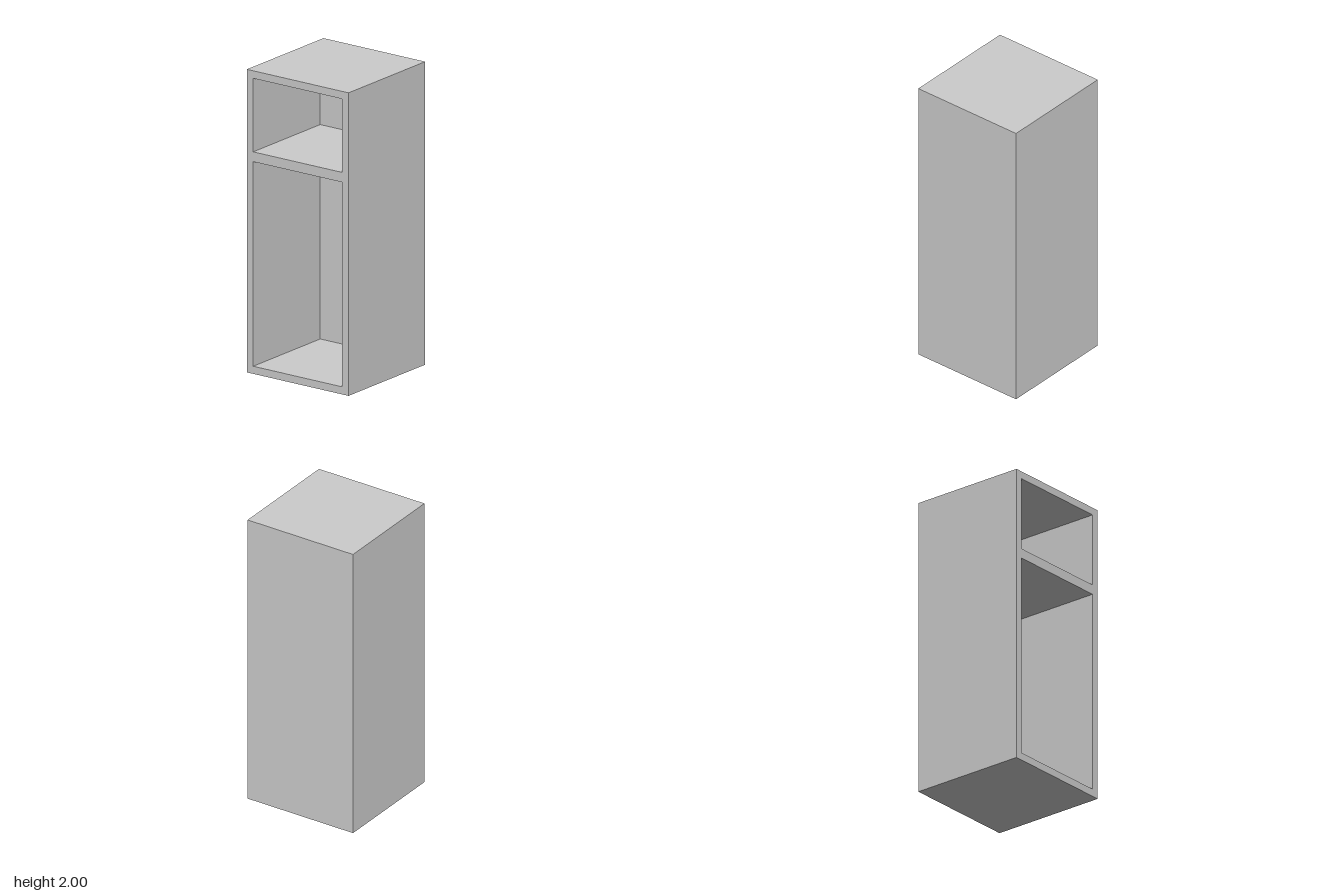
import * as THREE from 'three';

const WIDTH = 0.8, HEIGHT = 2, DEPTH = 0.8;
const BACK = 0.1;    // back panel thickness
const INNER = 0.35;  // half width of the openings

// Rectangle outline, used for both the carcass and its openings
function rect(PathType, halfWidth, bottom, top) {
  return new PathType([
    new THREE.Vector2(-halfWidth, bottom),
    new THREE.Vector2(halfWidth, bottom),
    new THREE.Vector2(halfWidth, top),
    new THREE.Vector2(-halfWidth, top),
  ]);
}

export function createModel() {
  const group = new THREE.Group();
  group.name = 'cabinet';
  const material = new THREE.MeshStandardMaterial({ color: 0xcccccc });

  const add = (name, geometry, z) => {
    const mesh = new THREE.Mesh(geometry, material);
    mesh.name = name;
    mesh.position.z = z;
    group.add(mesh);
  };

  // Carcass: sides, top, bottom and the shelf between the two compartments
  const outline = rect(THREE.Shape, WIDTH / 2, 0, HEIGHT);
  for (const [bottom, top] of [[0.05, 1.4], [1.465, 1.95]]) {
    outline.holes.push(rect(THREE.Path, INNER, bottom, top));
  }
  const carcass = new THREE.ExtrudeGeometry(outline, { depth: DEPTH - BACK, bevelEnabled: false });
  add('carcass', carcass, -DEPTH / 2 + BACK);

  // Solid panel closing the back
  const panel = new THREE.BoxGeometry(WIDTH, HEIGHT, BACK).translate(0, HEIGHT / 2, 0);
  add('backPanel', panel, -DEPTH / 2 + BACK / 2);

  return group;
}
